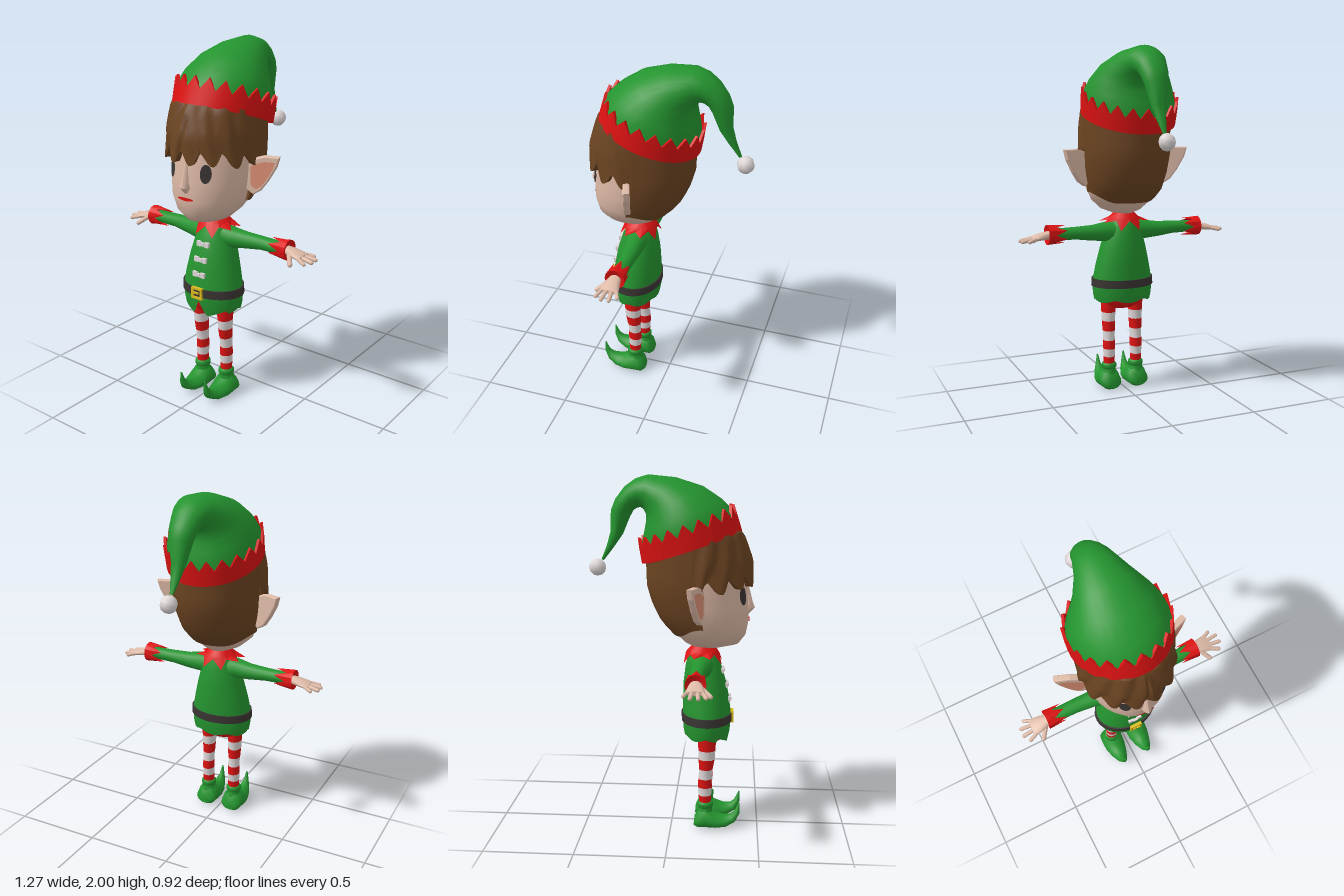
import * as THREE from 'three';
import { toCreasedNormals } from 'three/addons/utils/BufferGeometryUtils.js';

const mat = (name, color, side = THREE.FrontSide) => {
  const m = new THREE.MeshStandardMaterial({ color, side });
  m.name = name;
  return m;
};
const green = mat('green cloth', 0x24942f, THREE.DoubleSide);
const red = mat('red cloth', 0xdd1212, THREE.DoubleSide);
const skin = mat('skin', 0xdfbba8);
const innerEarPink = mat('inner ear', 0xdc9074);
const brown = mat('brown hair', 0x6a4321, THREE.DoubleSide);
const white = mat('white', 0xe0d8d8);
const dark = mat('dark leather', 0x3a3533);
const gold = mat('gold', 0xdcbc1c);

const TAU = Math.PI * 2;

// Surface from rows of points; u runs around, rows run along
function grid(cols, rows, fn, crease = 0.8) {
  const pos = [], index = [];
  for (let j = 0; j < rows; j++)
    for (let i = 0; i <= cols; i++) pos.push(...fn(i / cols, j));
  for (let j = 0; j < rows - 1; j++)
    for (let i = 0; i < cols; i++) {
      const a = j * (cols + 1) + i, b = a + cols + 1;
      index.push(a, a + 1, b + 1, a, b + 1, b);
    }
  const g = new THREE.BufferGeometry();
  g.setAttribute('position', new THREE.Float32BufferAttribute(pos, 3));
  g.setIndex(index);
  return toCreasedNormals(g, crease);
}

// Ellipse rings through points A and B in the z-y plane: [az, ay, bz, by, halfWidth]
function loftAB(secs, cols = 24, bias = 0) {
  const n = secs.length;
  return grid(cols, n + 2, (u, j) => {
    const [az, ay, bz, by, rx] = secs[Math.min(Math.max(j - 1, 0), n - 1)];
    const k = j === 0 || j === n + 1 ? 0 : 1;
    const c = Math.cos(u * TAU) * k, s = Math.sin(u * TAU) * k;
    return [rx * s * (1 - bias * c), (ay + by) / 2 + (ay - by) / 2 * c, (az + bz) / 2 + (az - bz) / 2 * c];
  });
}
// Upright loft: [y, zCentre, rx, rz]
const loftY = (secs, cols) => loftAB(secs.map(([y, z, rx, rz]) => [z + rz, y, z - rz, y, rx]), cols);
// Sideways loft along x: [x, yCentre, zCentre, ry, rz]
const loftX = (secs) => grid(16, secs.length + 2, (u, j) => {
  const n = secs.length, [x, y, z, ry, rz] = secs[Math.min(Math.max(j - 1, 0), n - 1)];
  const k = j === 0 || j === n + 1 ? 0 : 1;
  return [x, y + ry * k * Math.cos(u * TAU), z + rz * k * Math.sin(u * TAU)];
});
// Interpolated upright section at height y
function at(secs, y) {
  let i = 0;
  while (i < secs.length - 2 && secs[i + 1][0] < y) i++;
  const a = secs[i], b = secs[i + 1];
  const t = Math.min(1, Math.max(0, (y - a[0]) / (b[0] - a[0])));
  return a.map((v, k) => (k ? v + (b[k] - v) * t : y));
}
const ringPoint = (secs, y, th, off = 0) => {
  const [, z, rx, rz] = at(secs, y);
  return [(rx + off) * Math.sin(th), y, z + (rz + off) * Math.cos(th)];
};

const HEAD = [[1.055, .2, .05, .08], [1.08, .225, .115, .15], [1.13, .217, .17, .195], [1.2, .19, .21, .235],
  [1.3, .165, .227, .26], [1.4, .145, .235, .27], [1.55, .14, .235, .27], [1.7, .12, .228, .24], [1.77, .11, .15, .15]];
const TUNIC = [[.52, .2, .166, .122], [.58, .2, .178, .134], [.66, .2, .18, .137], [.75, .195, .162, .132],
  [.85, .187, .138, .121], [.95, .178, .11, .1], [1.02, .172, .08, .075], [1.06, .17, .05, .05]];
const LEG = [[.15, .197, .033, .034], [.25, .195, .035, .04], [.32, .197, .034, .037], [.42, .205, .039, .046], [.53, .205, .044, .052]];

export function createModel() {
  const root = new THREE.Group();
  const add = (name, geo, m, parent = root) => {
    const mesh = new THREE.Mesh(geo, m);
    mesh.name = name;
    parent.add(mesh);
    return mesh;
  };

  // Head and face
  add('head', loftY(HEAD, 32), skin);
  add('neck', new THREE.CylinderGeometry(.045, .045, .08, 16).translate(0, 1.05, .17), skin);
  add('nose', loftY([[1.245, .405, .018, .022], [1.28, .41, .029, .05], [1.31, .41, .02, .038], [1.41, .4, .012, .022]], 10), skin);
  const facePatch = (cx, cy, w, h) => {
    const g = new THREE.CircleGeometry(1, 20), p = g.attributes.position;
    for (let i = 0; i < p.count; i++) {
      const x = cx + p.getX(i) * w, y = cy + p.getY(i) * h, [, z, rx, rz] = at(HEAD, y);
      p.setXYZ(i, x, y, z + rz * Math.sqrt(1 - (x / rx) ** 2) + .007);
    }
    g.computeVertexNormals();
    return g;
  };
  for (const s of [-1, 1]) add('eye', facePatch(s * .11, 1.36, .026, .05), dark);
  add('mouth', facePatch(0, 1.215, .052, .009), red);

  // Hair: long at the back, swept pointed locks over the forehead
  const smooth = THREE.MathUtils.smoothstep;
  add('hair', grid(120, 11, (u, j) => {
    const th = (u - .5) * TAU + Math.PI, a = Math.abs(u < .5 ? th : TAU - th);
    const signed = u < .5 ? th : th - TAU;
    const front = 1 - smooth(a, 1.35, 1.75);
    const lock = v => { const f = v * 2.3 + 100.2; return f - Math.floor(f); };
    const tip = lock(signed);
    const hem = a < 1.62 ? 1.475 - .07 * Math.sin(Math.PI * tip ** 1.5) - .02 * smooth(a, .6, 1.2)
      : 1.19 - .06 * smooth(a, 1.62, 2.6);
    const top = 1.64 + .1 * Math.cos(a), t = Math.max(0, j - 1) / 9;
    const y = hem + (top - hem) * t;
    const ridge = Math.sin(Math.PI * lock(signed + .35 * t * Math.sign(signed)) ** 1.5);
    const off = j === 0 ? 0 : .014 + front * (.008 + .017 * ridge) * (1 - .4 * t);
    return ringPoint(HEAD, y, signed, off);
  }, .6), brown);

  // Drooping hat with pompom
  add('hat', loftAB([[.37, 1.73, -.165, 1.56, .258], [.345, 1.8, -.165, 1.64, .26], [.27, 1.872, -.152, 1.7, .24],
    [.165, 1.94, -.142, 1.75, .205], [.02, 1.985, -.14, 1.785, .16], [-.13, 2, -.155, 1.815, .115],
    [-.2, 1.978, -.17, 1.825, .1], [-.26, 1.935, -.19, 1.823, .085], [-.31, 1.87, -.21, 1.81, .076],
    [-.335, 1.81, -.23, 1.775, .066], [-.34, 1.69, -.27, 1.68, .042], [-.36, 1.62, -.32, 1.61, .028],
    [-.392, 1.54, -.378, 1.535, .01]], 28), green);
  add('pompom', new THREE.SphereGeometry(.048, 8, 6).translate(0, 1.495, -.415), white);

  // Tilted brim with a zigzag upper edge
  const TEETH = 20;
  add('hatBrim', grid(TEETH * 2, 5, (u, j) => {
    const th = u * TAU, c = Math.cos(th), s = Math.sin(th), tooth = Math.round(u * TEETH * 2) % 2 === 0;
    const h = [0, 0, 1, 1, 0][j] * (tooth ? 1 : .58), inset = [.018, 0, 0, .015, .018][j];
    const rz = .273 - .01 * h - inset, rx = .268 + .008 * h - inset;
    return [rx * s, 1.615 + .092 * c + .138 * h, .107 - .034 * h + rz * c];
  }, .4), red);

  // Tunic with a split, pointed hem
  add('tunic', loftY(TUNIC.slice(2), 32), green);
  add('tunicSkirt', grid(64, 4, (u, j) => {
    const th = (u - .5) * TAU, a = Math.abs(th);
    const hem = a < .25 ? .6 - .36 * a : a < 1 ? .51 + .06 * (a - .25) : .555 - .018 * Math.abs(Math.cos(a * 3));
    return ringPoint(TUNIC, hem + (.665 - hem) * j / 3, th);
  }), green);
  add('trousers', loftY([[.49, .2, .075, .045], [.52, .2, .122, .085], [.56, .2, .14, .1], [.62, .2, .15, .11]], 24), red);
  add('belt', grid(40, 4, (u, j) =>
    ringPoint(TUNIC, [.628, .628, .675, .675][j], u * TAU, [-.01, .008, .008, -.01][j]), .5), dark);

  // Collar of pointed petals
  add('collar', grid(16, 3, (u, j) => {
    const th = u * TAU + Math.PI / 8, s = Math.sin(th), c = Math.cos(th), tip = Math.round(u * 16) % 2 === 0;
    if (j === 2) return [.052 * s, 1.068, .17 + .052 * c];
    if (j === 1) return [.088 * s, 1.035, .172 + .085 * c];
    return tip ? [.15 * s, .955 + .065 * s * s, .175 + .115 * c] : [.1 * s, 1.02, .173 + .095 * c];
  }, .4), red);

  // Buckle
  const frame = new THREE.Shape([[-.036, -.033], [.036, -.033], [.036, .033], [-.036, .033]].map(p => new THREE.Vector2(...p)));
  frame.holes.push(new THREE.Path([[-.024, -.021], [-.024, .021], [.024, .021], [.024, -.021]].map(p => new THREE.Vector2(...p))));
  add('buckle', new THREE.ExtrudeGeometry(frame, { depth: .018, bevelEnabled: false }).translate(0, .65, .335), gold);
  add('bucklePin', new THREE.BoxGeometry(.036, .01, .012).translate(-.008, .65, .346), gold);

  // Buttons with side loops
  for (const y of [.92, .837, .755]) {
    const [, z, , rz] = at(TUNIC, y);
    for (const x of [-.026, 0, .026])
      add('button', new THREE.BoxGeometry(.029, x ? .028 : .018, .018).translate(x, y, z + rz + (x ? 0 : .004)), white);
  }

  // Paired parts, built on the +x side and mirrored
  const earOutline = [[-.02, .06], [.03, .085], [.08, .1], [.16, .1], [.145, .05], [.1, -.03], [.06, -.085], [.02, -.11], [-.02, -.08]];
  const earShape = k => new THREE.Shape(earOutline.map(([x, y]) => new THREE.Vector2(.07 + (x - .07) * k, y * k)));
  const finger = (a, b, r, parent, name = 'finger') => {
    const va = new THREE.Vector3(...a), d = new THREE.Vector3(...b).sub(va);
    const m = add(name, new THREE.CapsuleGeometry(r, d.length(), 3, 8), skin, parent);
    m.position.copy(va).addScaledVector(d, .5);
    m.quaternion.setFromUnitVectors(new THREE.Vector3(0, 1, 0), d.normalize());
  };
  for (const side of [1, -1]) {
    const half = new THREE.Group();
    half.name = side > 0 ? 'leftSide' : 'rightSide';
    half.scale.x = side;
    root.add(half);

    // Ear
    const ear = new THREE.Group();
    ear.name = 'ear';
    ear.position.set(.222, 1.335, .16);
    ear.rotation.y = .35;
    half.add(ear);
    add('earShell', new THREE.ExtrudeGeometry(earShape(.94), { depth: .02, bevelSize: .007, bevelThickness: .008, bevelSegments: 2 }), skin, ear);
    add('innerEar', new THREE.ShapeGeometry(earShape(.72)).translate(.004, 0, .03), innerEarPink, ear);

    // Arm, zigzag cuff and hand
    add('sleeve', loftX([[.04, .955, .175, .07, .07], [.12, .953, .17, .056, .058], [.2, .952, .16, .046, .046],
      [.3, .957, .155, .037, .041], [.43, .957, .155, .034, .039]]), green, half);
    add('cuff', grid(12, 3, (u, j) => {
      const x = j === 0 ? (Math.round(u * 12) % 2 === 0 ? .365 : .43) : [0, .475, .462][j], r = [.05, .057, .02][j];
      return [x, .957 + r * Math.cos(u * TAU), .155 + r * Math.sin(u * TAU)];
    }, .5), red, half);
    add('palm', loftX([[.455, .957, .155, .024, .03], [.5, .951, .157, .022, .042], [.54, .944, .157, .018, .05], [.565, .94, .157, .012, .046]]), skin, half);
    finger([.55, .941, .117], [.59, .932, .098], .0105, half);
    finger([.55, .941, .143], [.62, .93, .133], .0115, half);
    finger([.55, .941, .17], [.622, .93, .176], .0115, half);
    finger([.545, .941, .193], [.6, .927, .214], .011, half);
    finger([.495, .945, .19], [.53, .914, .235], .013, half, 'thumb');

    // Striped leg
    const leg = new THREE.Group();
    leg.name = 'leg';
    leg.position.x = .086;
    half.add(leg);
    const stripes = [.145, .195, .243, .295, .353, .413, .467, .54];
    for (let i = 0; i < stripes.length - 1; i++) {
      const a = stripes[i], b = stripes[i + 1];
      add('stockingStripe', loftY([a, (a + b) / 2, b].map(y => at(LEG, y)), 16), i % 2 ? white : red, leg);
    }

    // Curled boot
    add('boot', loftAB([[.39, .15, .397, .148, .004], [.366, .097, .397, .085, .016], [.342, .077, .372, .035, .032],
      [.3, .075, .32, .006, .05], [.25, .092, .26, 0, .064], [.2, .13, .2, 0, .067], [.16, .11, .15, 0, .06],
      [.137, .06, .133, .012, .035]], 20, .25), green, leg);
    add('bootAnkle', loftY([[.05, .195, .058, .055], [.09, .196, .045, .046], [.13, .198, .036, .038]], 16), green, leg);
    add('bootCuff', loftY([[.12, .198, .038, .04], [.128, .198, .044, .045], [.148, .198, .044, .045], [.156, .198, .036, .038]], 16), green, leg);
  }
  return root;
}
